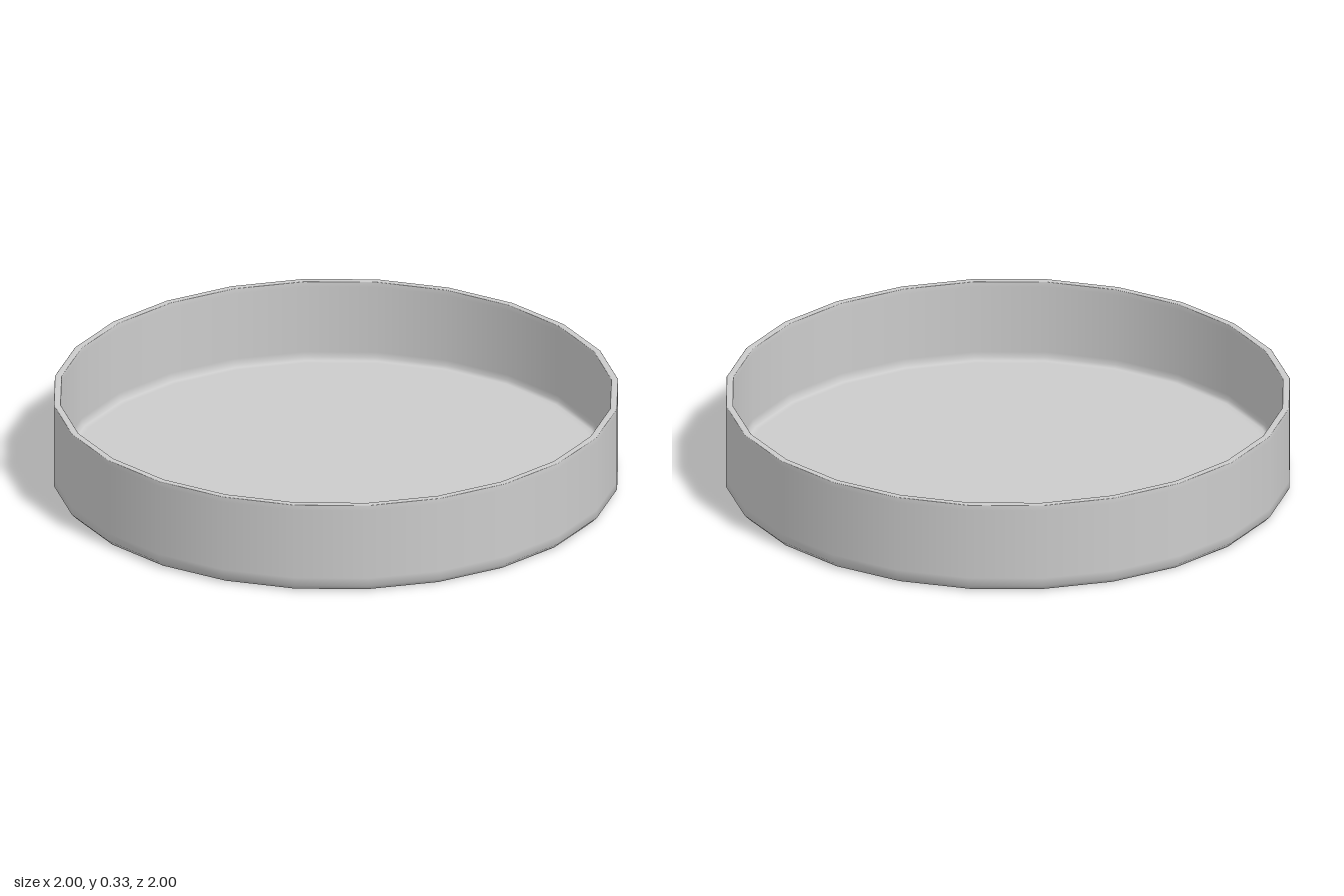
import * as THREE from 'three';

export function createModel() {
  const group = new THREE.Group();
  group.name = 'shallowDish';
  const material = new THREE.MeshStandardMaterial({ color: 0xcccccc });

  // Closed cross-section: underside, outer wall, rim, inner wall, floor.
  // Points next to each bevel keep the large faces flat under smooth normals.
  const profile = [
    [0, 0], [0.96, 0], [0.98, 0],
    [1, 0.02], [1, 0.05], [1, 0.31],
    [1, 0.328], [0.998, 0.33], [0.977, 0.33], [0.975, 0.328],
    [0.975, 0.31], [0.975, 0.06], [0.975, 0.04],
    [0.965, 0.03], [0.945, 0.03], [0, 0.03],
  ].map(([r, y]) => new THREE.Vector2(r, y));

  const dish = new THREE.Mesh(new THREE.LatheGeometry(profile, 24), material);
  dish.name = 'dish';
  group.add(dish);
  return group;
}
